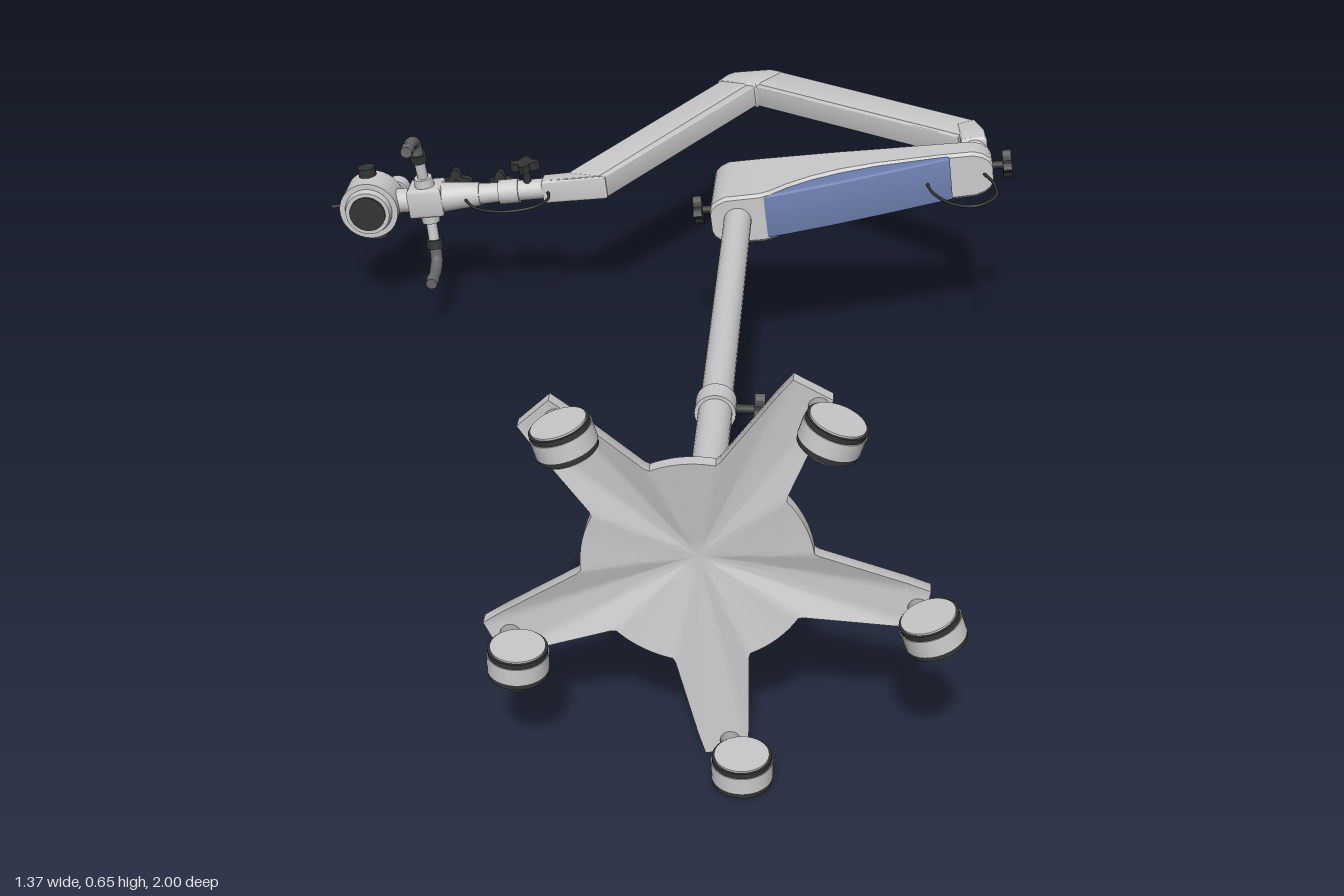
import * as THREE from 'three';
import { toCreasedNormals } from 'three/addons/utils/BufferGeometryUtils.js';

const paint = (name, color) => {
  const m = new THREE.MeshStandardMaterial({ color });
  m.name = name;
  return m;
};
const V = (x, y, z) => new THREE.Vector3(x, y, z);

// Skin over rings of equal length, each wound counter-clockwise seen from the last ring
const loft = (rings, crease) => {
  const n = rings[0].length, index = [];
  for (let i = 0; i + 1 < rings.length; i++)
    for (let j = 0; j < n; j++) {
      const a = i * n + j, b = i * n + (j + 1) % n;
      index.push(a, b, a + n, b, b + n, a + n);
    }
  const geo = new THREE.BufferGeometry().setFromPoints(rings.flat());
  geo.setIndex(index);
  return toCreasedNormals(geo, crease);
};
// Linear interpolation through [x, value] pairs
const along = (pts, x) => {
  let i = 0;
  while (i < pts.length - 2 && x > pts[i + 1][0]) i++;
  return THREE.MathUtils.mapLinear(x, pts[i][0], pts[i + 1][0], pts[i][1], pts[i + 1][1]);
};

export function createModel() {
  const grey = paint('light grey', 0xcacacc);
  const steel = paint('steel grey', 0xa4a4a6);
  const grip = paint('grip grey', 0x68686a);
  const dark = paint('dark rubber', 0x333435);
  const blue = paint('blue panel', 0x6e7fb0);

  const add = (parent, name, geo, mat) => {
    const m = new THREE.Mesh(geo, mat);
    m.name = name;
    parent.add(m);
    return m;
  };
  // Cylinder between two points
  const rod = (parent, name, a, b, r1, r2, mat, sides = 24) => {
    const d = b.clone().sub(a);
    const m = add(parent, name, new THREE.CylinderGeometry(r2, r1, d.length(), sides), mat);
    m.position.copy(a).addScaledVector(d, 0.5);
    m.quaternion.setFromUnitVectors(V(0, 1, 0), d.normalize());
  };
  // Four-lobed clamp knob on a stem
  const knob = (parent, at, dir, stem = 0.04, r = 0.03) => {
    const g = new THREE.Group();
    g.name = 'clampKnob';
    rod(g, 'knobStem', V(0, 0, 0), V(0, stem, 0), 0.008, 0.008, dark, 12);
    const geo = new THREE.CylinderGeometry(r, r, 0.017, 32);
    const p = geo.attributes.position;
    for (let i = 0; i < p.count; i++) {
      const k = 0.78 + 0.22 * Math.cos(4 * Math.atan2(p.getZ(i), p.getX(i)));
      p.setXYZ(i, p.getX(i) * k, p.getY(i), p.getZ(i) * k);
    }
    add(g, 'knobGrip', toCreasedNormals(geo, 0.7), dark).position.y = stem;
    g.position.copy(at);
    g.quaternion.setFromUnitVectors(V(0, 1, 0), dir);
    parent.add(g);
  };

  // Built upright, then laid down so the base faces the front
  const stand = new THREE.Group();
  stand.name = 'microscopeStand';
  stand.rotation.x = -Math.PI / 2;
  const CX = 0.154, CZ = 0.349;

  // Base: one five-legged star shell, hollow below, domed above
  const base = new THREE.Group();
  base.name = 'base';
  base.position.set(CX, 0, CZ);
  stand.add(base);
  const ridge = [[0, -0.82], [0.075, -0.824], [0.17, -0.848], [0.35, -0.856]];
  const starRing = (t, height) => Array.from({ length: 200 }, (_, j) => {
    const d = Math.abs(((j + 20) % 40) - 20) * Math.PI / 100;
    const side = 0.076 / (Math.sin(d) + 0.125 * Math.cos(d));
    const r = t * Math.max(0.171, Math.min(0.338 / Math.cos(d), side));
    const a = (-9.8 - j * 1.8) * Math.PI / 180;
    return V(r * Math.cos(a), height(r, t), r * Math.sin(a));
  });
  const under = (r, t) => -0.893 + 0.025 * (1 - t);
  const over = (r, t) => -0.872 + (along(ridge, r) + 0.872) * (1 - t ** 5);
  const steps = [0.001, 0.2, 0.4, 0.55, 0.7, 0.8, 0.88, 0.94, 0.98, 1];
  add(base, 'starBase', loft([
    ...steps.map(t => starRing(t, under)),
    ...steps.slice().reverse().map(t => starRing(t, over))
  ], 0.8), grey);

  // Casters: x, depth, swivel in degrees
  for (const [x, z, turn] of [[0.34, 0.615, -17], [-0.03, 0.59, 18], [-0.103, 0.21, 0], [0.228, 0.035, 2], [0.495, 0.3, 20]]) {
    const c = new THREE.Group();
    c.name = 'caster';
    c.position.set(x, -0.954, z);
    c.rotation.y = -turn * Math.PI / 180;
    const disc = (name, r, w, mat) => rod(c, name, V(0, 0, -w / 2), V(0, 0, w / 2), r, r, mat, 32);
    disc('casterHood', 0.046, 0.028, grey);
    disc('casterTyre', 0.0445, 0.044, dark);
    disc('casterDisc', 0.041, 0.05, grey);
    rod(c, 'casterStem', V(-0.02, 0.02, 0), V(-0.02, 0.075, 0), 0.016, 0.016, steel, 16);
    stand.add(c);
  }

  // Column, clamp collar and knob
  rod(base, 'lowerColumn', V(0, -0.83, 0), V(0, -0.45, 0), 0.028, 0.028, grey);
  rod(base, 'columnFoot', V(0, -0.83, 0), V(0, -0.795, 0), 0.034, 0.034, grey);
  rod(base, 'collar', V(0, -0.455, 0), V(0, -0.415, 0), 0.034, 0.034, grey);
  rod(base, 'upperColumn', V(0, -0.42, 0), V(0, 0.3, 0), 0.0265, 0.0265, grey);
  knob(base, V(0.03, -0.435, 0), V(1, 0, 0), 0.042);

  // Everything above swings in one vertical plane
  const boom = new THREE.Group();
  boom.name = 'boom';
  boom.position.set(CX, 0, CZ);
  boom.rotation.y = -7.6 * Math.PI / 180;
  stand.add(boom);
  const P = (x, h, w = 0) => V((x - CX) * 1.009, h, w);
  const slab = (name, pts, width, mat, bevel = 0.006) => {
    const shape = new THREE.Shape(pts.map(([x, h]) => new THREE.Vector2((x - CX) * 1.009, h)));
    const geo = new THREE.ExtrudeGeometry(shape, {
      depth: width - 2 * bevel, bevelThickness: bevel, bevelSize: bevel, bevelOffset: -bevel, bevelSegments: 3
    });
    geo.translate(0, 0, bevel - width / 2);
    add(boom, name, toCreasedNormals(geo, 0.6), mat);
  };

  // Balance housing, rounded at both ends in plan: x, half width, underside height
  const stations = [[0.104, 0.024, 0.28], [0.108, 0.033, 0.28], [0.118, 0.042, 0.28], [0.135, 0.049, 0.28], [0.2, 0.05, 0.281],
    [0.22, 0.05, 0.291], [0.25, 0.05, 0.316], [0.295, 0.05, 0.343], [0.35, 0.05, 0.365], [0.42, 0.049, 0.382], [0.54, 0.048, 0.395],
    [0.605, 0.047, 0.399], [0.623, 0.041, 0.4], [0.635, 0.031, 0.4], [0.64, 0.02, 0.4]];
  const across = ([x, w, b], k = 1) => {
    const e = 0.006, mid = (b + 0.46) / 2;
    return [[w, b + e], [w, 0.46 - e], [w - e, 0.46], [e - w, 0.46], [-w, 0.46 - e], [-w, b + e], [e - w, b], [w - e, b]]
      .map(([z, h]) => P(x, mid + (h - mid) * k, z * k)).reverse();
  };
  add(boom, 'housing', loft([across(stations[0], 0), ...stations.map(s => across(s)), across(stations.at(-1), 0)], 0.5), grey);
  slab('underPanel', [[0.195, 0.282], [0.24, 0.292], [0.33, 0.316], [0.44, 0.35], [0.56, 0.39], [0.56, 0.42], [0.195, 0.42]],
    0.088, blue, 0.004);
  knob(boom, P(0.11, 0.345), V(-1, 0, 0), 0.035);
  knob(boom, P(0.635, 0.44), V(1, 0, 0), 0.034);
  rod(boom, 'tensionButton', P(0.48, 0.455), P(0.48, 0.485), 0.012, 0.012, dark, 16);
  rod(boom, 'topScrew', P(0.42, 0.455), P(0.42, 0.468), 0.016, 0.016, steel, 16);

  // Pivot post and folded arm
  rod(boom, 'pivotPost', P(0.61, 0.45), P(0.61, 0.53), 0.024, 0.024, grey);
  slab('pivotBracket', [[0.585, 0.515], [0.635, 0.515], [0.632, 0.56], [0.616, 0.615], [0.58, 0.6]], 0.056, grey);
  slab('rearArm', [[0.205, 0.992], [0.618, 0.612], [0.588, 0.545], [0.16, 0.93]], 0.052, grey);
  slab('rearArmChannel', [[0.165, 0.935], [0.585, 0.555], [0.58, 0.54], [0.165, 0.91]], 0.046, grey, 0.003);
  slab('elbow', [[0.1, 0.99], [0.115, 1], [0.195, 0.996], [0.22, 0.975], [0.165, 0.91], [0.08, 0.955]], 0.056, grey);
  slab('frontArm', [[0.103, 0.985], [-0.2, 0.525], [-0.135, 0.495], [0.152, 0.935]], 0.052, grey);
  slab('frontArmChannel', [[0.15, 0.94], [-0.14, 0.5], [-0.12, 0.496], [0.165, 0.92]], 0.046, grey, 0.003);

  // Wrist joints leading to the optical head
  slab('wristBlock', [[-0.25, 0.53], [-0.19, 0.532], [-0.12, 0.492], [-0.25, 0.492]], 0.05, grey);
  for (const [a, b, r1, r2] of [[-0.24, -0.31, 0.021, 0.021], [-0.3, -0.34, 0.025, 0.025], [-0.34, -0.39, 0.02, 0.022],
    [-0.38, -0.46, 0.024, 0.031], [-0.52, -0.58, 0.025, 0.025]])
    rod(boom, 'wristJoint', P(a, 0.515), P(b, 0.515), r1, r2, grey);
  slab('handleBlock', [[-0.525, 0.484], [-0.455, 0.484], [-0.455, 0.548], [-0.525, 0.548]], 0.062, grey);
  knob(boom, P(-0.28, 0.512, 0.015), V(0, 0, 1), 0.04);
  knob(boom, P(-0.345, 0.53), V(0, 1, 0), 0.034, 0.029);
  knob(boom, P(-0.44, 0.535), V(0, 1, 0), 0.05, 0.032);

  // Optical head with lens and eyepiece
  rod(boom, 'headBody', P(-0.605, 0.475), P(-0.605, 0.546), 0.06, 0.06, grey, 40);
  rod(boom, 'headCap', P(-0.605, 0.546), P(-0.605, 0.562), 0.06, 0.045, grey, 40);
  rod(boom, 'lensRing', P(-0.605, 0.462), P(-0.605, 0.48), 0.045, 0.05, grey, 40);
  rod(boom, 'lens', P(-0.605, 0.459), P(-0.605, 0.464), 0.037, 0.037, dark, 40);
  rod(boom, 'prismTube', P(-0.605, 0.545, -0.01), P(-0.6, 0.645, -0.048), 0.037, 0.031, grey);
  rod(boom, 'eyeTube', P(-0.6, 0.625, -0.05), P(-0.595, 0.68, -0.05), 0.021, 0.021, grey);
  rod(boom, 'eyepiece', P(-0.595, 0.675, -0.05), P(-0.595, 0.706, -0.05), 0.026, 0.026, grey);
  rod(boom, 'sidePin', P(-0.66, 0.515), P(-0.69, 0.515), 0.004, 0.004, dark, 10);

  for (const s of [-1, 1]) {
    // Focus knobs and hooked hand grips on both sides
    rod(boom, 'focusShaft', P(-0.605, 0.522, s * 0.05), P(-0.605, 0.522, s * 0.064), 0.011, 0.011, steel, 16);
    rod(boom, 'focusKnob', P(-0.605, 0.522, s * 0.06), P(-0.605, 0.522, s * 0.078), 0.018, 0.018, dark, 20);
    const x = -0.49;
    rod(boom, 'handleBoss', P(x, 0.512, s * 0.025), P(x, 0.51, s * 0.05), 0.021, 0.018, grey);
    rod(boom, 'handleArm', P(x, 0.51, s * 0.045), P(x, 0.504, s * 0.095), 0.011, 0.011, grey, 16);
    rod(boom, 'handleCollar', P(x, 0.505, s * 0.088), P(x, 0.502, s * 0.106), 0.017, 0.017, dark, 20);
    const path = new THREE.CatmullRomCurve3([P(x, 0.503, s * 0.1), P(x, 0.495, s * 0.13), P(x, 0.468, s * 0.143), P(x, 0.43, s * 0.145)]);
    add(boom, 'handleGrip', new THREE.TubeGeometry(path, 20, 0.0125, 14), grip);
    rod(boom, 'gripTip', P(x, 0.435, s * 0.145), P(x, 0.414, s * 0.146), 0.0135, 0.0115, grip, 16);
  }

  // Loose cables
  const cable = pts => add(boom, 'cable',
    new THREE.TubeGeometry(new THREE.CatmullRomCurve3(pts.map(p => P(...p))), 40, 0.003, 8), dark);
  cable([[0.51, 0.4], [0.525, 0.33], [0.56, 0.275], [0.6, 0.258], [0.638, 0.29], [0.64, 0.35], [0.62, 0.41]]);
  cable([[-0.41, 0.495], [-0.38, 0.445], [-0.32, 0.416], [-0.26, 0.425], [-0.235, 0.46], [-0.24, 0.5]]);

  const model = new THREE.Group();
  model.name = 'model';
  model.add(stand);
  return model;
}
